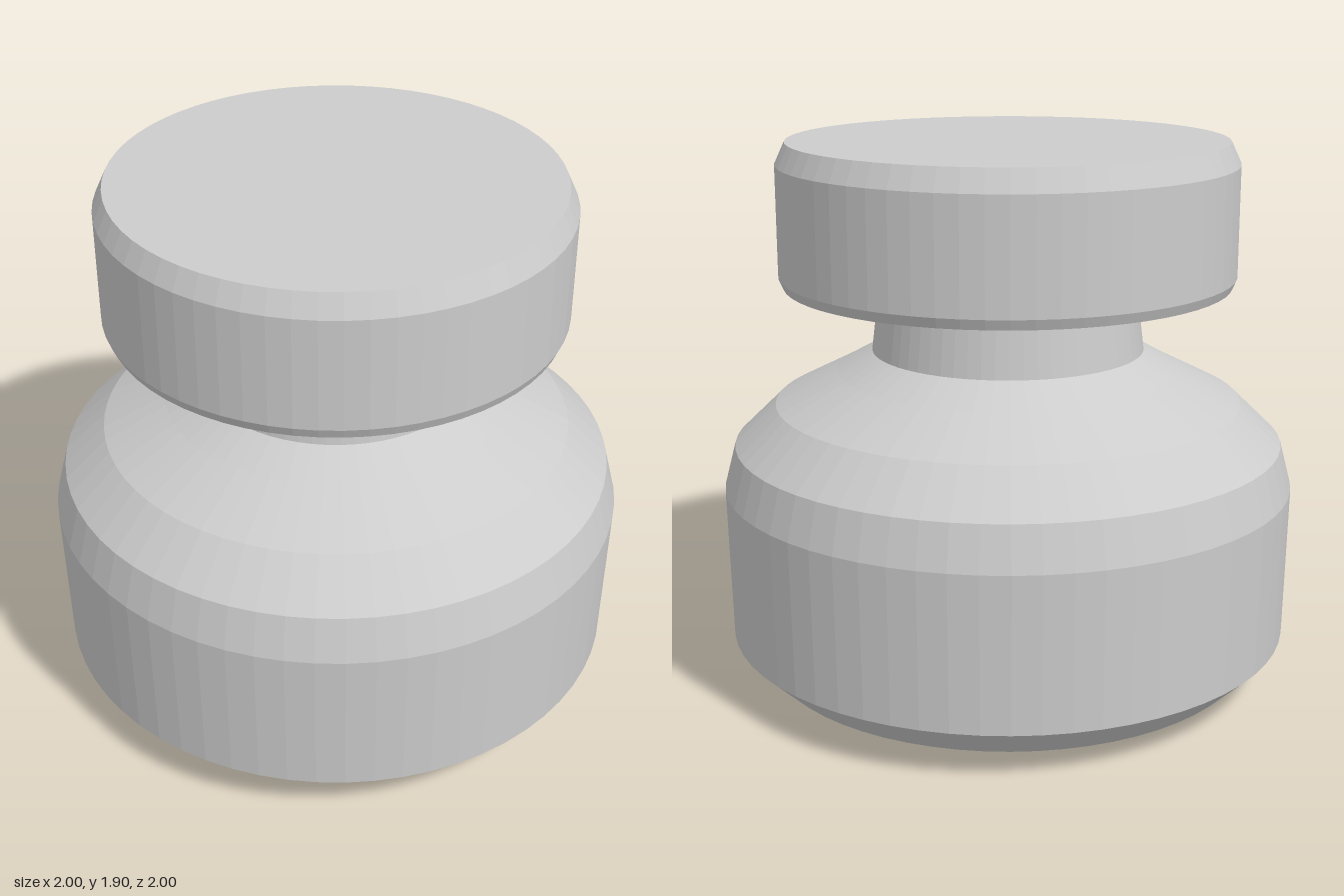
import * as THREE from 'three';

const SEGMENTS = 64;

// Revolve a profile of [radius, height] pairs, listed from the bottom up the outside
function turned(name, profile, material) {
  const points = profile.map(([r, y]) => new THREE.Vector2(r, y));
  const mesh = new THREE.Mesh(new THREE.LatheGeometry(points, SEGMENTS), material);
  mesh.name = name;
  return mesh;
}

export function createModel() {
  const grey = new THREE.MeshStandardMaterial({ color: 0xcccccc, flatShading: true });
  grey.name = 'light grey';

  const group = new THREE.Group();
  group.name = 'jar';

  // Rounded body with chamfered base and sloping shoulder
  group.add(turned('body', [
    [0, 0], [0.66, 0.003], [0.87, 0.06], [0.99, 0.175], [1, 0.71],
    [0.96, 0.86], [0.815, 1.0], [0.6, 1.11], [0.475, 1.18],
  ], grey));

  // Tapered neck, closed at the top inside the cap
  group.add(turned('neck', [
    [0.475, 1.18], [0.447, 1.41], [0.43, 1.55], [0, 1.55],
  ], grey));

  // Cap with bevelled rims and a recess that fits over the neck
  group.add(turned('cap', [
    [0, 1.6], [0.485, 1.6], [0.485, 1.415], [0.775, 1.415],
    [0.79, 1.45], [0.79, 1.83], [0.755, 1.905], [0, 1.905],
  ], grey));

  return group;
}
